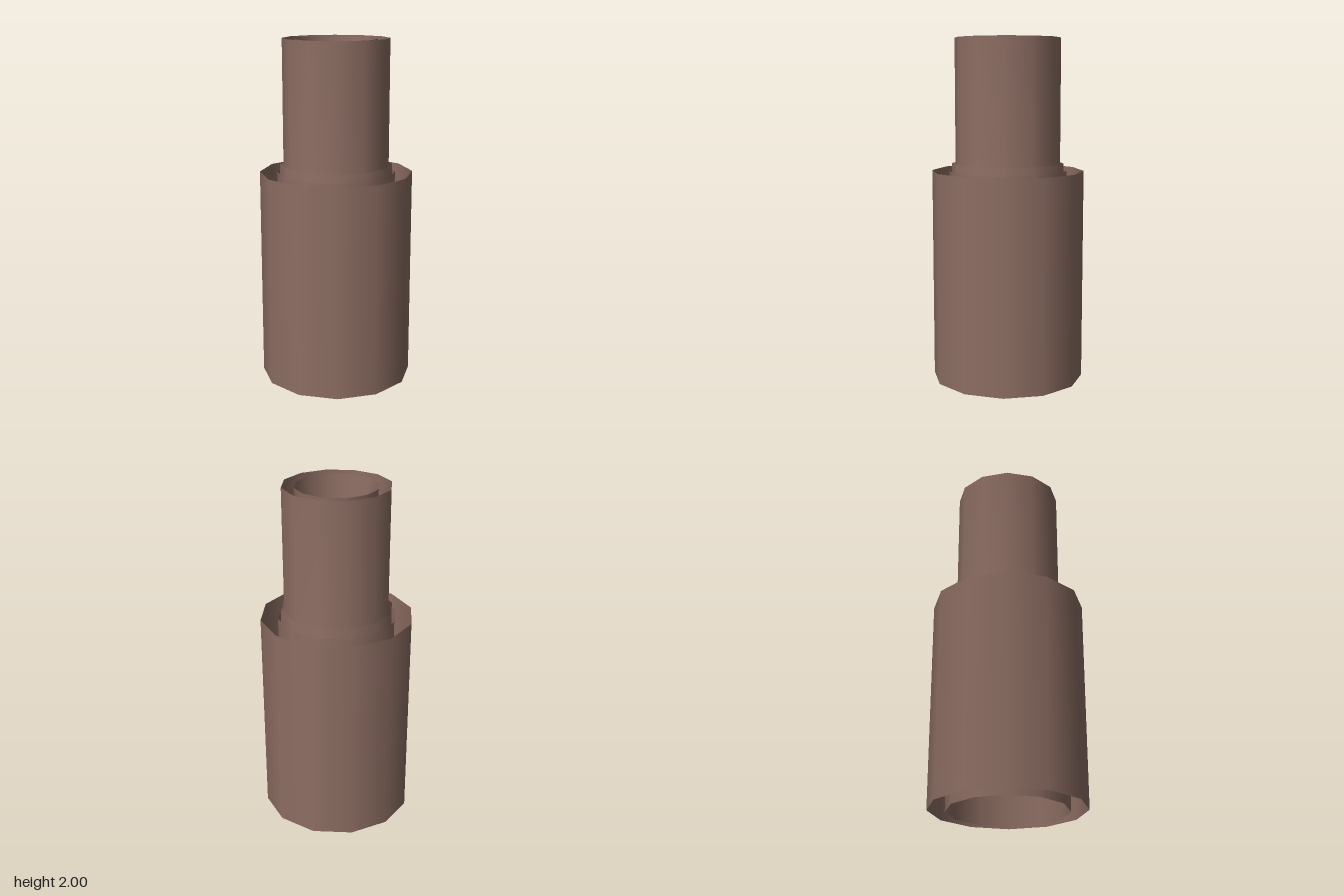
import * as THREE from 'three';

const SIDES = 12;

export function createModel() {
  const model = new THREE.Group();
  const material = new THREE.MeshStandardMaterial({ color: 0x8d6e63, side: THREE.DoubleSide });

  // Revolves a [radius, height] profile into an open twelve-sided shell
  function shell(name, profile) {
    const points = profile.map(([r, y]) => new THREE.Vector2(r, y));
    const mesh = new THREE.Mesh(new THREE.LatheGeometry(points, SIDES), material);
    mesh.name = name;
    model.add(mesh);
  }

  // Wide lower body: an open outer sleeve around a slightly longer liner
  shell('outerSleeve', [[0.442, 0.01], [0.442, 1.238]]);
  shell('sleeveLiner', [[0.342, 0], [0.342, 1.236]]);

  // Narrow upper tube with the collar at its foot
  shell('upperTubeAndCollar', [[0.325, 1.0], [0.325, 1.28], [0.305, 1.285], [0.305, 2]]);

  // Tapered cup set into the upper tube, closed at the bottom
  shell('innerCup', [[0.235, 1.995], [0.18, 1.3], [0.174, 1.26], [0, 1.2]]);

  return model;
}
